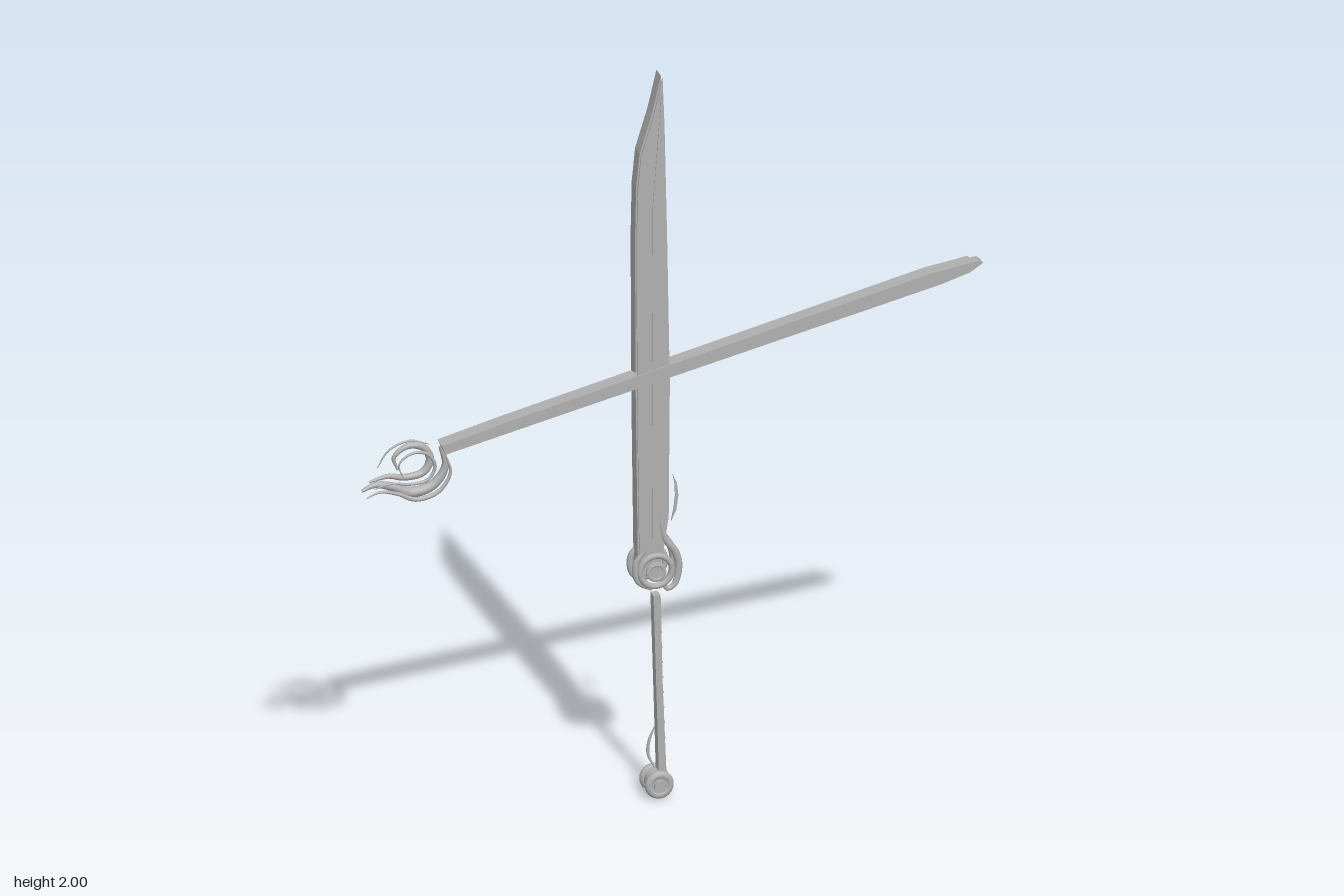
import * as THREE from 'three';

export function createModel() {
  const model = new THREE.Group();
  const steel = new THREE.MeshStandardMaterial({ color: 0xb0b0b0, side: THREE.DoubleSide });
  steel.name = 'steel';

  const add = (name, geometry, x = 0, y = 0, z = 0, parent = model) => {
    const mesh = new THREE.Mesh(geometry, steel);
    mesh.name = name;
    mesh.position.set(x, y, z);
    parent.add(mesh);
    return mesh;
  };
  // Flat outline extruded from z0 to z1
  const slab = (name, points, z0, z1) => {
    const shape = new THREE.Shape(points.map(p => new THREE.Vector2(...p)));
    return add(name, new THREE.ExtrudeGeometry(shape, { depth: z1 - z0, bevelEnabled: false }), 0, 0, z0);
  };
  // Round bar along a planar curve, tapered towards both ends
  const bar = (name, points, z, r, taper = 0.4) => {
    const curve = new THREE.CatmullRomCurve3(points.map(([x, y]) => new THREE.Vector3(x, y, z)));
    const n = 48, sides = 10;
    const geo = new THREE.TubeGeometry(curve, n, r, sides);
    const pos = geo.attributes.position;
    for (let i = 0; i <= n; i++) {
      const c = curve.getPointAt(i / n);
      const k = taper + (1 - taper) * Math.sin(Math.PI * i / n);
      for (let j = 0; j <= sides; j++) {
        const id = i * (sides + 1) + j;
        const v = new THREE.Vector3().fromBufferAttribute(pos, id).sub(c).multiplyScalar(k).add(c);
        pos.setXYZ(id, v.x, v.y, v.z);
      }
    }
    return add(name, geo);
  };
  const ring = (name, x, y, z, radius, tube) =>
    add(name, new THREE.TorusGeometry(radius, tube, 10, 32), x, y, z);
  const drum = (name, x, y, z, r, depth) => {
    add(name, new THREE.CylinderGeometry(r, r, depth, 28), x, y, z).rotation.x = Math.PI / 2;
  };

  // Upright blade: thick core with a separate thin front plate
  const blade = [[-0.032, 2], [-0.055, 1.9], [-0.088, 1.79], [-0.097, 1.7], [-0.1, 1.55],
    [-0.098, 1.1], [-0.092, 0.62], [-0.04, 0.62], [-0.016, 0.78], [-0.013, 1.15],
    [-0.02, 1.55], [-0.027, 1.87]];
  slab('uprightBladeCore', blade, -0.028, 0.012);
  slab('uprightBladeFrontPlate', blade, 0.024, 0.028);
  // Raised ridges on both faces
  const ridge = [[-0.035, 1.96], [-0.058, 1.65], [-0.06, 1.2], [-0.058, 0.72],
    [-0.05, 0.72], [-0.05, 1.2], [-0.049, 1.65]];
  slab('frontRidge', ridge, 0.028, 0.03);
  slab('backRidge', ridge, -0.03, -0.028);

  // Crossing blade: front slab and slightly narrower back slab
  slab('crossingBladeFront', [[-0.614, 1.055], [-0.44, 1.1], [0.67, 1.368], [0.8, 1.388],
    [0.81, 1.38], [0.775, 1.358], [0.7, 1.335], [-0.603, 1.03]], 0.002, 0.032);
  slab('crossingBladeBack', [[-0.61, 1.05], [-0.44, 1.094], [0.67, 1.362], [0.785, 1.38],
    [0.7, 1.342], [-0.603, 1.034]], -0.022, 0.002);

  // Curled guard of the crossing sword, in two layers
  const sweep = [[-0.603, 1.03], [-0.59, 0.975], [-0.622, 0.927], [-0.68, 0.913],
    [-0.73, 0.935], [-0.775, 0.945], [-0.81, 0.932]];
  const curl = [[-0.79, 0.955], [-0.74, 0.965], [-0.7, 0.957], [-0.648, 0.965], [-0.63, 1.0],
    [-0.65, 1.035], [-0.69, 1.042], [-0.725, 1.015], [-0.715, 0.98]];
  [[-0.02, 0.014], [0.026, 0.006]].forEach(([z, r]) => {
    bar('curledGuardSweep', sweep, z, r, 0.3);
    bar('curledGuardSpiral', curl, z, r * 0.75, 0.3);
  });
  bar('curledGuardOuterWire', [[-0.765, 0.985], [-0.735, 1.03], [-0.68, 1.05], [-0.63, 1.035]], -0.033, 0.003);

  // Rounded guard of the upright sword
  drum('guardHub', -0.05, 0.632, 0, 0.026, 0.07);
  for (const z of [-0.03, 0.03]) {
    ring('guardRing', -0.05, 0.635, z, 0.042, 0.008);
    ring('guardBoss', -0.05, 0.632, z, 0.02, 0.007);
    bar('guardRightLobe', [[-0.04, 0.79], [-0.025, 0.72], [0.002, 0.68], [0.011, 0.64],
      [0, 0.59], [-0.02, 0.58], [-0.03, 0.61]], z * 0.8, 0.01, 0.4);
    bar('guardLeftLobe', [[-0.07, 0.7], [-0.1, 0.66], [-0.096, 0.61], [-0.06, 0.582]], z * 0.8, 0.009, 0.4);
  }
  // Thin crescent beside the guard
  slab('guardCrescent', [[0.008, 0.875], [0.019, 0.85], [0.023, 0.815], [0.018, 0.775],
    [0.004, 0.745], [0.011, 0.78], [0.015, 0.815], [0.013, 0.85]], -0.022, -0.018);

  // Slim grip with binding ribs
  slab('grip', [[-0.052, 0.558], [-0.033, 0.558], [-0.028, 0.32], [-0.018, 0.07],
    [-0.038, 0.07], [-0.045, 0.32]], -0.014, 0.014);
  for (let i = 0; i < 10; i++) {
    const y = 0.53 - i * 0.042;
    const x = -0.034 + i * 0.0014;
    add('gripRib', new THREE.BoxGeometry(0.014, 0.005, 0.012), x, y, -0.012);
  }
  bar('gripLoop', [[-0.045, 0.19], [-0.06, 0.15], [-0.062, 0.115], [-0.045, 0.075]], 0, 0.004);

  // Spool-shaped pommel
  drum('pommelCore', -0.04, 0.038, 0, 0.029, 0.066);
  for (const z of [-0.025, 0.025]) {
    ring('pommelRim', -0.04, 0.038, z, 0.027, 0.011);
    drum('pommelCap', -0.04, 0.038, z * 1.4, 0.016, 0.01);
  }
  return model;
}
